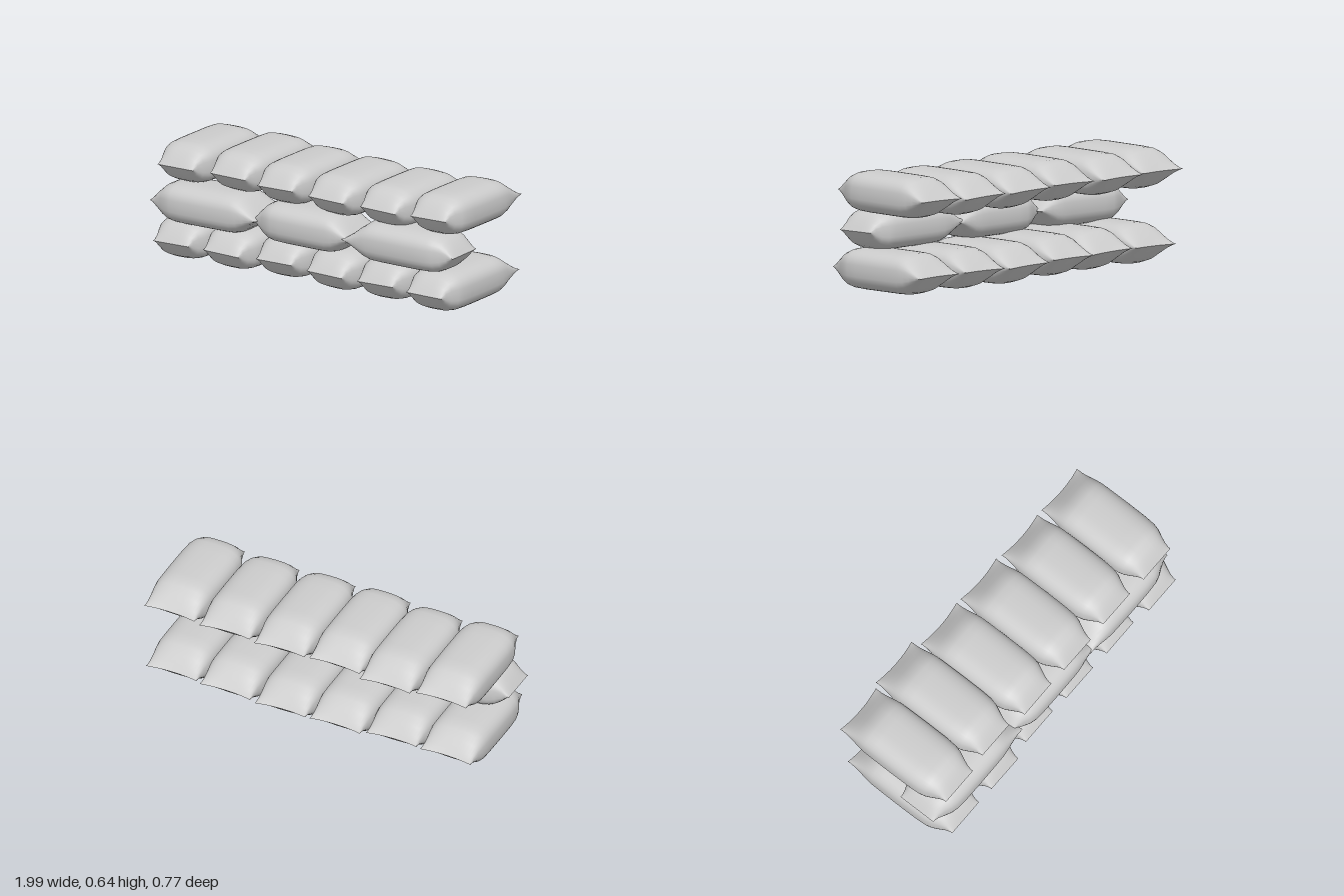
import * as THREE from 'three';

// Bag profile from the narrow tied end to the wide sewn end:
// [distance 0..1, half width, half height, squareness of the section]
const STATIONS = [
  [0.0, 0.113, 0.0, 3], [0.022, 0.113, 0.02, 3], [0.06, 0.118, 0.054, 3],
  [0.11, 0.132, 0.085, 3], [0.165, 0.15, 0.102, 2.9], [0.22, 0.16, 0.109, 2.8],
  [0.32, 0.164, 0.111, 2.8], [0.5, 0.165, 0.111, 2.8], [0.68, 0.164, 0.111, 2.8],
  [0.76, 0.163, 0.109, 2.8], [0.82, 0.159, 0.096, 2.8], [0.88, 0.153, 0.068, 2.8],
  [0.94, 0.149, 0.034, 2.8], [0.98, 0.149, 0.011, 2.8], [1.0, 0.15, 0.0, 2.8],
];
const SIDES = 36;

const power = (v, p) => Math.sign(v) * Math.pow(Math.abs(v), p);

// Pillow-shaped bag lofted through rounded-rectangle rings, narrow end at +z
function bagGeometry(length) {
  const pos = [], index = [];
  for (const [t, w, h, n] of STATIONS) {
    for (let j = 0; j < SIDES; j++) {
      const a = (j / SIDES) * Math.PI * 2;
      const u = power(Math.cos(a), 2 / n);
      const v = power(Math.sin(a), 2 / n);
      // the seam corners flare out past the middle of the wide end
      const flare = Math.max(0, t - 0.85) * 0.1 * (u * u - 0.5);
      pos.push(w * u, h * v, (0.5 - t) * length - flare);
    }
  }
  for (let i = 0; i < STATIONS.length - 1; i++) {
    for (let j = 0; j < SIDES; j++) {
      const k = (j + 1) % SIDES;
      const a = i * SIDES + j, b = i * SIDES + k;
      const c = a + SIDES, d = b + SIDES;
      index.push(a, c, b, b, c, d);
    }
  }
  const g = new THREE.BufferGeometry();
  g.setAttribute('position', new THREE.Float32BufferAttribute(pos, 3));
  g.setIndex(index);
  g.computeVertexNormals();
  return g;
}

export function createModel() {
  const model = new THREE.Group();
  model.name = 'sandbagWall';
  const cloth = new THREE.MeshStandardMaterial({ color: 0xcccccc, side: THREE.DoubleSide });
  cloth.name = 'bag cloth';

  function addBag(row, name, length, x, y, z, yaw = 0, pitch = 0, roll = 0) {
    const bag = new THREE.Mesh(bagGeometry(length), cloth);
    bag.name = name;
    bag.position.set(x, y, z);
    bag.rotation.set(pitch, yaw, roll, 'YXZ');
    row.add(bag);
  }

  function addRow(name) {
    const row = new THREE.Group();
    row.name = name;
    model.add(row);
    return row;
  }

  const columns = [-0.815, -0.49, -0.167, 0.163, 0.495, 0.825];

  // Bottom row, bags laid front to back: [front z, y, roll]
  const bottom = addRow('bottomRow');
  [[0.37, 0.119, 0.02], [0.375, 0.121, -0.02], [0.348, 0.123, 0.01],
    [0.355, 0.113, -0.02], [0.362, 0.119, 0.02], [0.382, 0.118, 0]]
    .forEach(([front, y, roll], i) =>
      addBag(bottom, 'bottomBag' + (i + 1), 0.68, columns[i], y, front - 0.34, 0, 0, roll));

  // Middle row, three bags laid end to end along the front
  const middle = addRow('middleRow');
  const q = Math.PI / 2;
  addBag(middle, 'middleBag1', 0.70, -0.648, 0.318, 0.185, -q, 0.01);
  addBag(middle, 'middleBag2', 0.645, -0.012, 0.322, 0.19, -q, 0);
  addBag(middle, 'middleBag3', 0.69, 0.615, 0.326, 0.195, q, 0, 0.01);

  // Top row, bags laid front to back: [back z, length, y, roll]
  const top = addRow('topRow');
  [[-0.362, 0.69, 0.53, 0.01], [-0.383, 0.695, 0.531, -0.01], [-0.337, 0.675, 0.527, 0.02],
    [-0.335, 0.675, 0.521, -0.02], [-0.323, 0.66, 0.52, -0.02], [-0.32, 0.665, 0.532, 0.02]]
    .forEach(([back, length, y, roll], i) =>
      addBag(top, 'topBag' + (i + 1), length, columns[i], y, back + length / 2, 0, -0.01, roll));

  return model;
}
